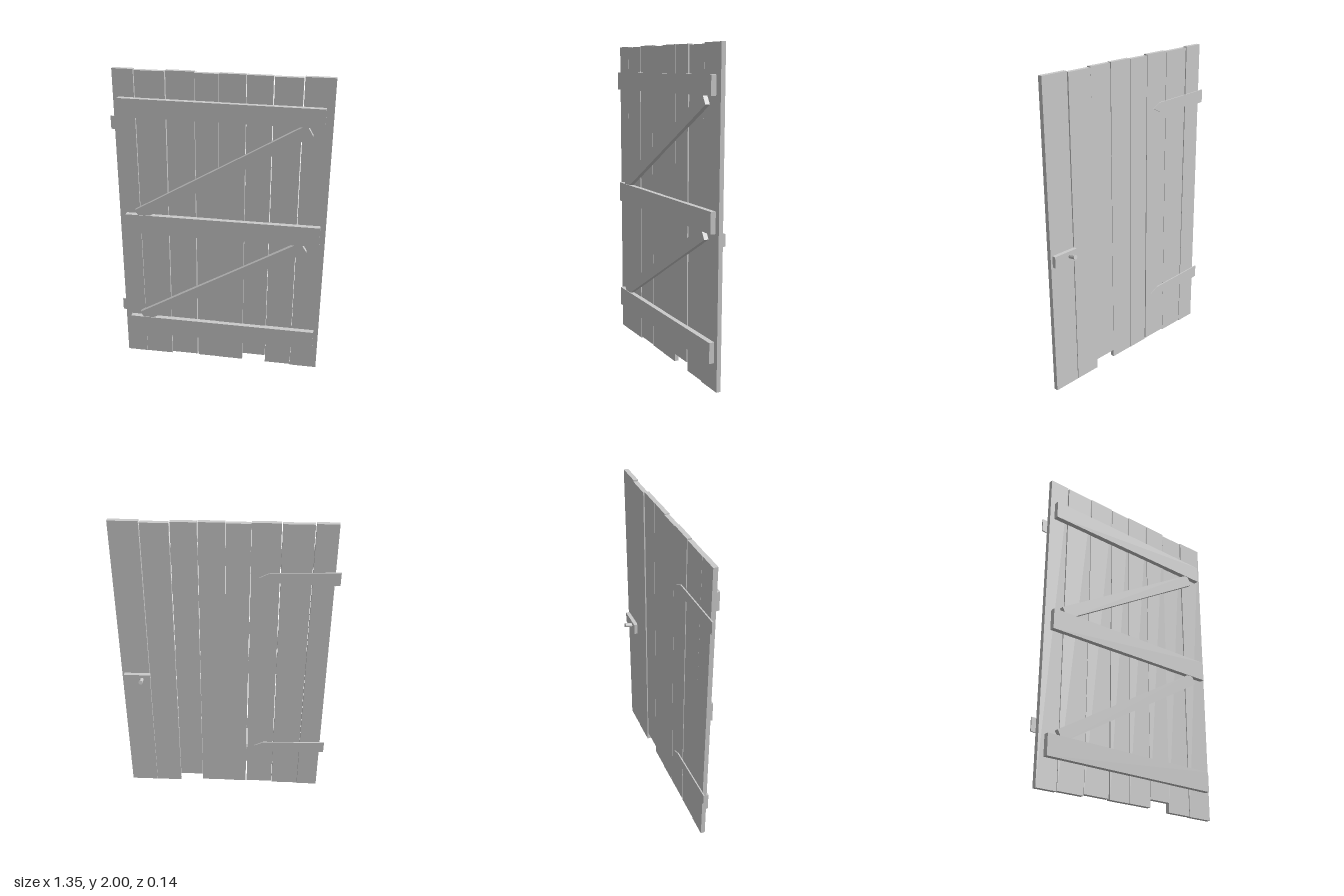
import * as THREE from 'three';

const material = new THREE.MeshStandardMaterial({ color: 0xcccccc, flatShading: true });

function add(parent, name, geometry, x = 0, y = 0, z = 0) {
  const mesh = new THREE.Mesh(geometry, material);
  mesh.name = name;
  mesh.position.set(x, y, z);
  parent.add(mesh);
  return mesh;
}

// Prism with a four-sided outline, given as corners, between two depths
function slab(points, z0, z1) {
  const shape = new THREE.Shape(points.map(([x, y]) => new THREE.Vector2(x, y)));
  return new THREE.ExtrudeGeometry(shape, { depth: z1 - z0, bevelEnabled: false }).translate(0, 0, z0);
}

export function createModel() {
  const door = new THREE.Group();
  door.name = 'plankDoor';

  // Uneven planks: bottom left/right x, top left/right x, bottom y, top y, back z
  const planks = [
    [-0.646, -0.511, -0.641, -0.512, 0.0, 2.0, 0.005],
    [-0.509, -0.331, -0.506, -0.323, 0.003, 1.995, 0.007],
    [-0.327, -0.152, -0.317, -0.147, 0.014, 2.0, 0.005],
    [-0.144, -0.001, -0.145, -0.002, 0.01, 1.993, 0.006],
    [0.001, 0.161, 0.001, 0.158, 0.01, 1.997, 0.008],
    [0.163, 0.316, 0.163, 0.316, 0.06, 1.995, 0.008],
    [0.318, 0.488, 0.322, 0.488, 0.003, 1.99, 0.002],
    [0.490, 0.665, 0.494, 0.672, 0.0, 1.997, 0.005],
  ];
  planks.forEach(([bl, br, tl, tr, y0, y1, z], i) => {
    add(door, `plank${i + 1}`, slab([[bl, y0], [br, y0], [tr, y1], [tl, y1]], z, z + 0.028));
  });

  // Horizontal battens on the front: left x, right x, centre y, height, tilt
  const battens = [
    [-0.61, 0.625, 1.77, 0.115, -0.006],
    [-0.6, 0.635, 1.005, 0.13, 0],
    [-0.605, 0.635, 0.237, 0.128, -0.002],
  ];
  battens.forEach(([x0, x1, y, h, tilt], i) => {
    const g = new THREE.BoxGeometry(x1 - x0, h, 0.033);
    add(door, `batten${i + 1}`, g, (x0 + x1) / 2, y, 0.05).rotation.z = tilt;
  });

  // Diagonal braces between the battens
  for (const [i, y] of [1.38, 0.615].entries()) {
    const brace = add(door, `brace${i + 1}`, new THREE.BoxGeometry(1.228, 0.076, 0.03), 0.01, y, 0.047);
    brace.rotation.z = 0.531;
  }

  // Tapered, pointed strap hinges on the back
  for (const [i, y] of [1.658, 0.352].entries()) {
    const outline = [[-0.675, -0.04], [-0.645, -0.044], [-0.26, -0.03], [-0.2, 0], [-0.26, 0.03], [-0.675, 0.042]];
    add(door, `strapHinge${i + 1}`, slab(outline, -0.003, 0.005), 0, y, 0);
  }

  // Latch plate and its slightly raised handle peg
  const latch = new THREE.Group();
  latch.name = 'latch';
  door.add(latch);
  add(latch, 'latchPlate', new THREE.BoxGeometry(0.17, 0.074, 0.026), 0.57, 0.903, -0.007);
  const peg = add(latch, 'latchPeg', new THREE.CylinderGeometry(0.014, 0.012, 0.055, 10), 0.541, 0.912, -0.042);
  peg.rotation.x = -Math.PI / 2 + 0.2;

  return door;
}
